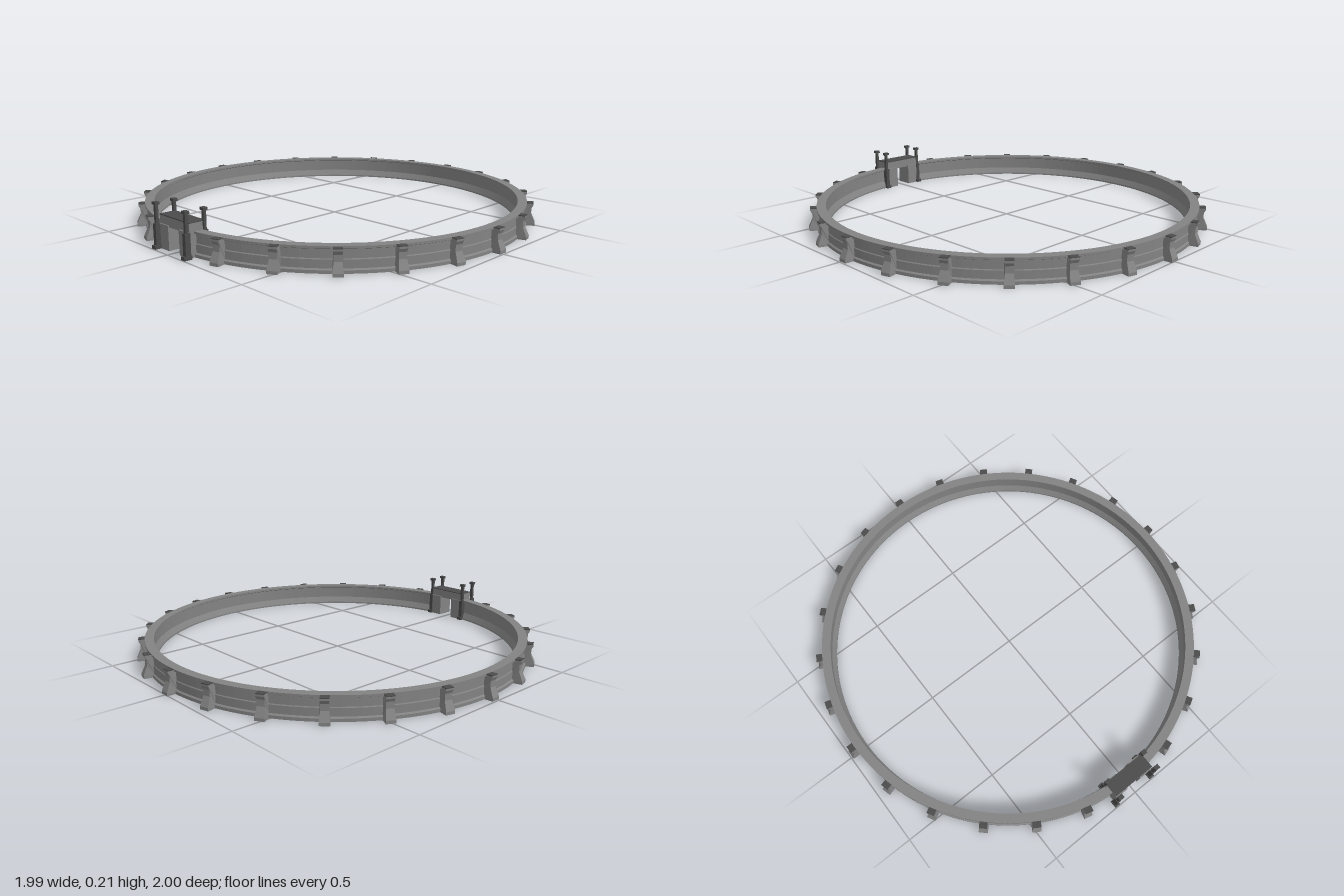
import * as THREE from 'three';

const finish = (color) => new THREE.MeshStandardMaterial({ color, flatShading: true, side: THREE.DoubleSide });
const stone = finish(0x838383);
const dark = finish(0x4b4b4b);
const CENTRE_Z = -0.01;

function part(name, geometry, material, parent, x = 0, y = 0, z = 0) {
  const mesh = new THREE.Mesh(geometry, material);
  mesh.name = name;
  mesh.position.set(x, y, z);
  parent.add(mesh);
  return mesh;
}

function box(name, material, parent, w, h, d, x, y, z) {
  return part(name, new THREE.BoxGeometry(w, h, d), material, parent, x, y + h / 2, z);
}

// Cross-section of the wall as [radius, height], open below, swept round with a gap for the gate
function wallGeometry() {
  const section = [
    [0.953, 0], [0.953, 0.014], [0.946, 0.02], [0.946, 0.056], [0.943, 0.06],
    [0.943, 0.098], [0.952, 0.102], [0.952, 0.112],
    [0.908, 0.112], [0.908, 0.102], [0.916, 0.098], [0.916, 0.038], [0.9, 0.008], [0.9, 0],
  ].map(([r, y]) => new THREE.Vector2(r, y));
  const gap = 0.07;
  return new THREE.LatheGeometry(section, 144, gap, Math.PI * 2 - 2 * gap);
}

// Buttress side profile, extruded sideways and flared toward the foot
function buttressGeometry() {
  const profile = [[0.935, 0], [0.993, 0], [0.993, 0.014], [0.974, 0.056], [0.974, 0.085], [0.982, 0.1], [0.982, 0.109], [0.935, 0.109]];
  const shape = new THREE.Shape(profile.map(([r, y]) => new THREE.Vector2(r, y)));
  const geo = new THREE.ExtrudeGeometry(shape, { depth: 0.044, bevelEnabled: false });
  geo.translate(0, 0, -0.022);
  const p = geo.attributes.position;
  for (let i = 0; i < p.count; i++) {
    const y = p.getY(i);
    const flare = y < 0.02 ? 1 : y < 0.09 ? 0.78 : 0.86;
    p.setZ(i, p.getZ(i) * flare);
  }
  geo.rotateY(-Math.PI / 2);
  return geo;
}

// Corner post with a stepped foot, slim shaft and flat cap
function cornerPost(parent, sx, sz) {
  const post = new THREE.Group();
  post.name = 'gatePost';
  post.position.set(sx * 0.111, 0, 0.93 + sz * 0.045);
  parent.add(post);
  box('postFoot', dark, post, 0.027, 0.016, 0.038, 0, 0, sz * 0.003);
  box('postLowerShaft', dark, post, 0.02, 0.096, 0.026, 0, 0.016, 0);
  box('postUpperShaft', dark, post, 0.014, 0.084, 0.014, 0, 0.112, 0);
  box('postCap', dark, post, 0.026, 0.012, 0.022, 0, 0.196, 0);
}

export function createModel() {
  const model = new THREE.Group();
  model.name = 'ringWall';

  // Circular wall
  part('wall', wallGeometry(), stone, model, 0, 0, CENTRE_Z);

  // Buttresses with dark caps every 15 degrees, except at the gate
  const body = buttressGeometry();
  for (let i = 1; i < 24; i++) {
    const buttress = new THREE.Group();
    buttress.name = 'buttress';
    buttress.position.z = CENTRE_Z;
    buttress.rotation.y = (i * Math.PI) / 12;
    model.add(buttress);
    part('buttressBody', body, stone, buttress);
    box('buttressCap', dark, buttress, 0.038, 0.004, 0.03, 0, 0.108, 0.967);
  }

  // Gate: two piers, a bridging deck with a dark roof, and four corner posts
  const gate = new THREE.Group();
  gate.name = 'gate';
  model.add(gate);
  for (const sx of [-1, 1]) {
    box('gatePier', stone, gate, 0.07, 0.112, 0.09, sx * 0.075, 0, 0.92);
    for (const sz of [-1, 1]) cornerPost(gate, sx, sz);
  }
  box('gateDeck', stone, gate, 0.22, 0.044, 0.078, 0, 0.105, 0.92);
  box('gateRoof', dark, gate, 0.22, 0.004, 0.078, 0, 0.149, 0.92);

  return model;
}
